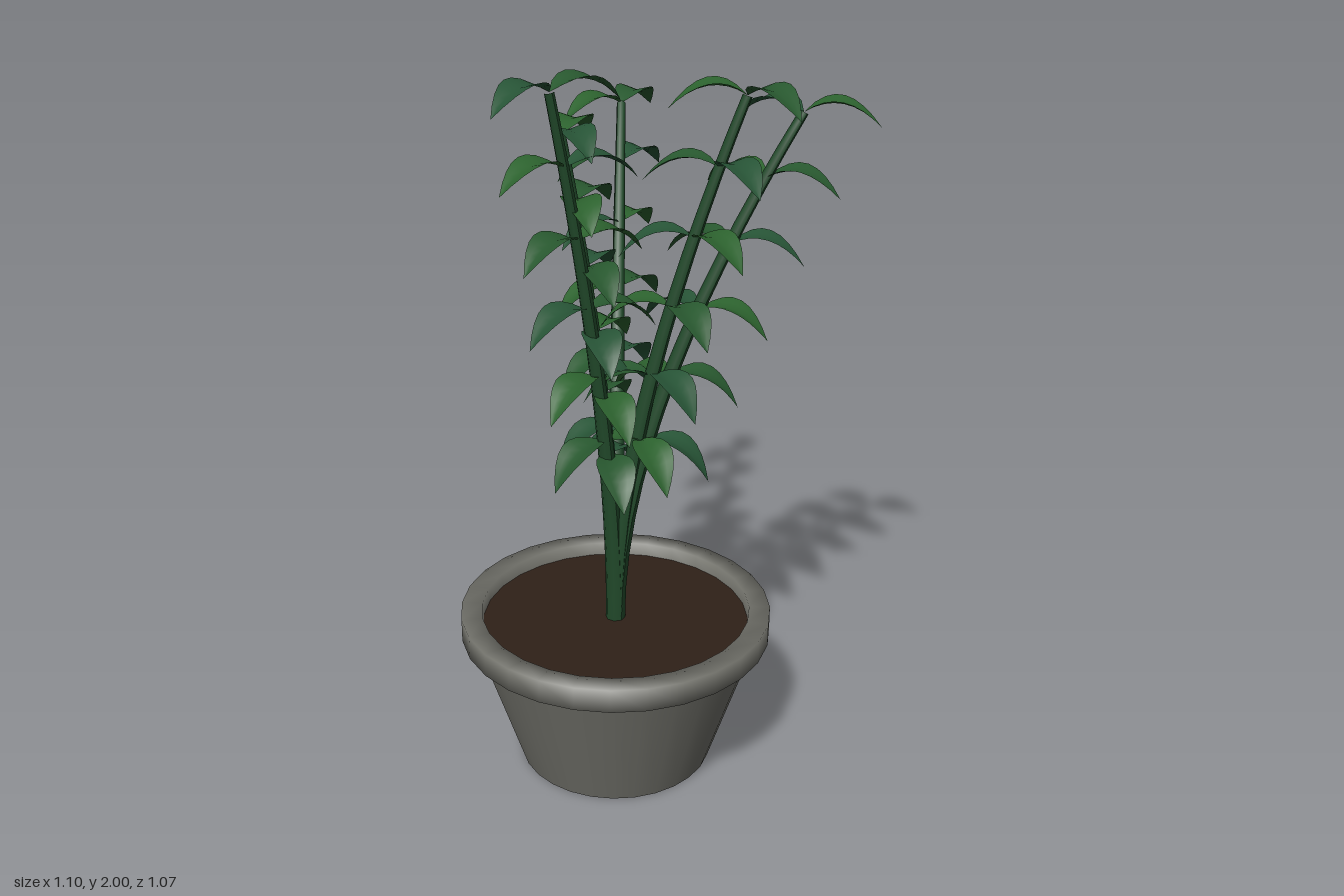
import * as THREE from 'three';

const mat = (color, side = THREE.FrontSide) => new THREE.MeshStandardMaterial({ color, side });
const CX = 0.11, CZ = 0.083, SIDES = 28, PAIRS = 6;

// Pointed leaf along +z: arched lengthwise, with the edges folded up from the midrib
function leafGeometry() {
  const g = new THREE.PlaneGeometry(1, 1, 4, 8);
  const p = g.attributes.position;
  for (let i = 0; i < p.count; i++) {
    const s = -2 * p.getX(i), u = p.getY(i) + 0.5;
    const w = Math.max(0, Math.sin(Math.PI * Math.pow(u, 0.82)));
    const y = 0.13 * u - 0.165 * u * u + 0.014 * Math.abs(s) * w;
    p.setXYZ(i, 0.053 * s * Math.pow(w, 0.9), y, 0.203 * u);
  }
  g.computeVertexNormals();
  return g;
}

// Tube that narrows from the base to the tip
function taperedTube(curve, r0, r1) {
  const rows = 14, sides = 8;
  const g = new THREE.TubeGeometry(curve, rows, 1, sides);
  const p = g.attributes.position, v = new THREE.Vector3();
  for (let i = 0; i < p.count; i++) {
    const t = Math.floor(i / (sides + 1)) / rows;
    const c = curve.getPointAt(t);
    v.fromBufferAttribute(p, i).sub(c).multiplyScalar(r0 + (r1 - r0) * t).add(c);
    p.setXYZ(i, v.x, v.y, v.z);
  }
  g.computeVertexNormals();
  return g;
}

export function createModel() {
  const plant = new THREE.Group();
  plant.name = 'pottedPlant';

  const add = (parent, name, geometry, material) => {
    const m = new THREE.Mesh(geometry, material);
    m.name = name;
    parent.add(m);
    return m;
  };
  const lathe = pts => new THREE.LatheGeometry(pts.map(([x, y]) => new THREE.Vector2(x, y)), SIDES);

  // Pot: tapered wall, flat base, thick rim and soil
  const pot = new THREE.Group();
  pot.name = 'pot';
  pot.position.set(CX, 0, CZ);
  plant.add(pot);
  const clay = mat(0x72726b);
  add(pot, 'potWall', lathe([[0.28, 0], [0.41, 0.4]]), clay);
  add(pot, 'potBase', new THREE.CircleGeometry(0.28, SIDES).rotateX(Math.PI / 2), clay);
  add(pot, 'potRim', lathe([[0.405, 0.4], [0.445, 0.4], [0.445, 0.468], [0.385, 0.468], [0.38, 0.41]]), clay);
  add(pot, 'soil', new THREE.CircleGeometry(0.382, SIDES).rotateX(-Math.PI / 2).translate(0, 0.43, 0), mat(0x2f2018));

  // Stems: tip position and the ground directions of each leaf pair
  const stems = [
    { tip: [-0.45, 1.775, -0.36], pair: [[-0.37, -0.93], [-0.12, 0.99]] },
    { tip: [-0.02, 1.82, 0.16], pair: [[-0.5, -0.87], [0.95, 0.3]] },
    { tip: [0.12, 1.962, 0.29], pair: [[0.15, 0.99], [0.16, -0.98]] },
    { tip: [0.29, 1.925, -0.2], pair: [[1, 0.1], [-0.66, 0.75]] },
    { tip: [0.31, 1.865, -0.38], pair: [[0.79, -0.62], [-0.97, 0.22]] },
  ];
  const stemMat = mat(0x21492a);
  const greens = [0x28582f, 0x2c622e, 0x275436].map(c => mat(c, THREE.DoubleSide));
  const leafGeo = leafGeometry();

  stems.forEach(({ tip, pair }, k) => {
    const branch = new THREE.Group();
    branch.name = 'branch' + (k + 1);
    plant.add(branch);
    const curve = new THREE.QuadraticBezierCurve3(
      new THREE.Vector3(CX, 0.42, CZ),
      new THREE.Vector3(CX, 1.04, CZ),
      new THREE.Vector3(...tip));
    add(branch, 'stem', taperedTube(curve, 0.028, 0.013), stemMat);

    // Leaf pairs evenly spaced from the tip down, drooping more lower on the stem
    for (let n = 0; n < PAIRS; n++) {
      const f = n / (PAIRS - 1);
      const node = curve.getPointAt(1 - 0.63 * f);
      pair.forEach(([dx, dz], j) => {
        const leaf = add(branch, 'leaf', leafGeo, greens[(k + n * 2 + j) % 3]);
        const turn = n % 2 ? -0.08 : 0.08;
        leaf.position.copy(node);
        leaf.rotation.set(0.36 * Math.pow(f, 1.5), Math.atan2(dx, dz) + turn, 0, 'YXZ');
      });
    }
  });
  return plant;
}
